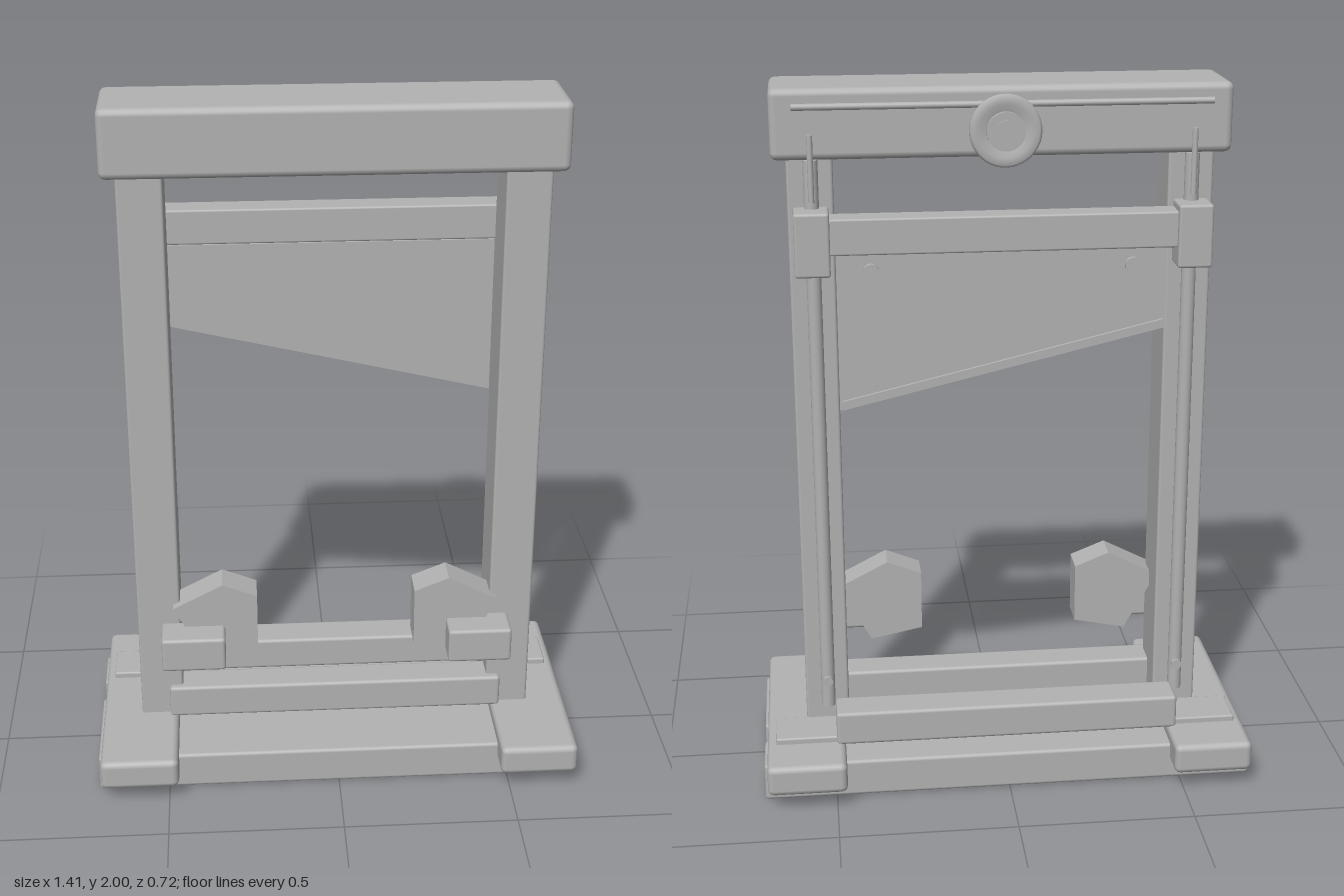
import * as THREE from 'three';
import { RoundedBoxGeometry } from 'three/addons/geometries/RoundedBoxGeometry.js';

export function createModel() {
  const root = new THREE.Group();
  root.name = 'bladeFrame';
  const grey = new THREE.MeshStandardMaterial({ color: 0xb2b2b2 });
  grey.name = 'plain grey';

  const add = (name, geometry) => {
    const mesh = new THREE.Mesh(geometry, grey);
    mesh.name = name;
    root.add(mesh);
    return mesh;
  };
  // Rounded block given by its limits on each axis
  const block = (name, [x0, x1], [y0, y1], [z0, z1], r = 0.01) => {
    const g = new RoundedBoxGeometry(x1 - x0, y1 - y0, z1 - z0, 2, r);
    g.translate((x0 + x1) / 2, (y0 + y1) / 2, (z0 + z1) / 2);
    return add(name, g);
  };
  // The same block on both sides
  const pair = (name, [x0, x1], y, z, r) => {
    block(name + 'Left', [x0, x1], y, z, r);
    block(name + 'Right', [-x1, -x0], y, z, r);
  };
  // Flat outline extruded from z0 to z1
  const plate = (name, points, z0, z1) => {
    const shape = new THREE.Shape(points.map(([x, y]) => new THREE.Vector2(x, y)));
    const g = new THREE.ExtrudeGeometry(shape, { depth: z1 - z0, bevelEnabled: false });
    g.translate(0, 0, z0);
    return add(name, g);
  };
  // Round bar along x, y or z
  const rod = (name, axis, r, length, [x, y, z], sides = 20) => {
    const g = new THREE.CylinderGeometry(r, r, length, sides);
    if (axis === 'x') g.rotateZ(Math.PI / 2);
    if (axis === 'z') g.rotateX(Math.PI / 2);
    g.translate(x, y, z);
    return add(name, g);
  };

  // Base
  block('frontSill', [-0.705, 0.705], [0, 0.11], [-0.04, 0.277]);
  block('rearSill', [-0.705, 0.705], [0, 0.11], [-0.28, -0.13]);
  pair('foot', [0.47, 0.695], [0.055, 0.145], [-0.363, 0.36], 0.018);
  pair('footPad', [0.49, 0.67], [0.13, 0.163], [-0.225, -0.095], 0.006);
  block('frontCrossRail', [-0.495, 0.495], [0.14, 0.24], [0.02, 0.12]);
  block('rearCrossRail', [-0.495, 0.495], [0.14, 0.24], [-0.237, -0.13]);

  // Uprights and top beam
  pair('post', [0.455, 0.58], [0.13, 1.83], [-0.07, 0.1], 0.008);
  block('topBeam', [-0.62, 0.62], [1.81, 2], [-0.113, 0.137], 0.02);

  // Guide rods with their pins and screws
  for (const s of [-1, 1]) {
    rod('guideRod', 'y', 0.02, 1.61, [s * 0.515, 1.005, -0.092]);
    rod('guidePin', 'y', 0.008, 0.18, [s * 0.515, 1.79, -0.12], 12);
    rod('guideScrew', 'z', 0.015, 0.016, [s * 0.515, 0.285, -0.113], 12);
  }

  // Sliding carriage
  block('carriageBar', [-0.48, 0.48], [1.56, 1.66], [-0.15, -0.072], 0.006);
  pair('carriageBlock', [0.47, 0.565], [1.505, 1.68], [-0.167, -0.07], 0.008);

  // Slanted blade with a thicker cutting strip behind
  const bladeEdge = x => 1.2125 - x * 0.236;
  plate('blade', [[-0.455, bladeEdge(-0.455)], [0.455, bladeEdge(0.455)],
    [0.455, 1.56], [-0.455, 1.56]], -0.082, -0.07);
  plate('bladeEdgeStrip', [[-0.45, bladeEdge(-0.45)], [0.45, bladeEdge(0.45)],
    [0.45, bladeEdge(0.45) + 0.025], [-0.45, bladeEdge(-0.45) + 0.025]], -0.092, -0.08);
  for (let i = 0; i < 16; i++) {
    const x = -0.41 + i * 0.82 / 15;
    rod('edgeRivet', 'z', 0.004, 0.006, [x, bladeEdge(x) + 0.045, -0.083], 8);
  }
  for (const s of [-1, 1]) rod('bladeBolt', 'z', 0.022, 0.016, [s * 0.36, 1.5, -0.088], 16);

  // Five-sided holders and the blocks in front of them
  const holder = [[0.23, 0.375], [0.38, 0.345], [0.44, 0.45], [0.475, 0.515], [0.33, 0.59], [0.23, 0.55]];
  plate('holderLeft', holder, 0.03, 0.125);
  plate('holderRight', holder.map(([x, y]) => [-x, y]), 0.03, 0.125);
  pair('holderBlock', [0.325, 0.51], [0.35, 0.455], [0.095, 0.203]);

  // Wheel and long rod behind the beam
  rod('beamRod', 'x', 0.009, 1.12, [0, 1.955, -0.132], 12);
  const wheel = add('wheel', new THREE.LatheGeometry([[0.05, -0.01], [0.09, -0.01], [0.097, -0.004],
    [0.097, 0.006], [0.09, 0.012], [0.072, 0.012], [0.05, 0.006]]
    .map(([r, h]) => new THREE.Vector2(r, h)), 40));
  wheel.rotation.x = -Math.PI / 2;
  wheel.position.set(0, 1.887, -0.148);
  rod('wheelHub', 'z', 0.052, 0.055, [0, 1.887, -0.1405], 32);
  rod('wheelAxle', 'z', 0.03, 0.065, [0, 1.887, -0.14], 24);
  return root;
}
